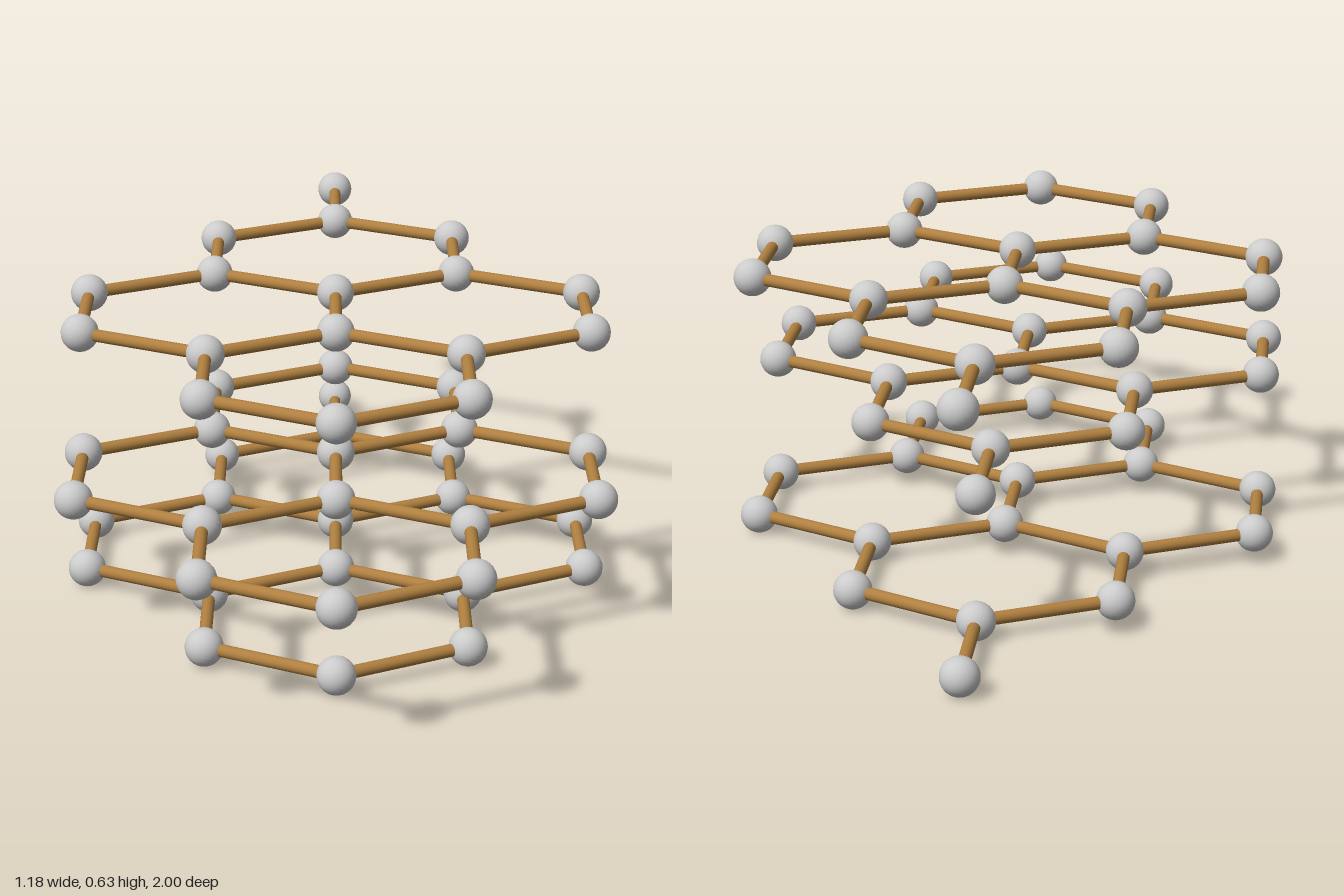
import * as THREE from 'three';

const A = 0.274;          // lattice spacing
const ATOM_R = 0.041;
const BOND_R = 0.0135;

const atomMat = new THREE.MeshStandardMaterial({ color: 0xcccccc });
const bondMat = new THREE.MeshStandardMaterial({ color: 0xb08040 });
const atomGeo = new THREE.SphereGeometry(ATOM_R, 24, 16);

// z positions of the atoms in each column, in lattice units: [column, z values]
const COLUMNS = [
  [0, [-3.5, -2.5, -0.5, 0.5, 2.5]],
  [1, [-2, -1, 1, 2]],
  [2, [-0.5, 0.5]],
];

// Rod between two atom centres
function makeBond(a, b) {
  const dir = b.clone().sub(a);
  const geo = new THREE.CylinderGeometry(BOND_R, BOND_R, dir.length(), 16, 1, true);
  const bond = new THREE.Mesh(geo, bondMat);
  bond.name = 'bond';
  bond.position.copy(a).add(b).multiplyScalar(0.5);
  bond.quaternion.setFromUnitVectors(new THREE.Vector3(0, 1, 0), dir.normalize());
  return bond;
}

// One sheet: four joined hexagonal rings with a single tail atom at the back
function makeSheet() {
  const sheet = new THREE.Group();
  const points = [];
  for (const [col, zs] of COLUMNS) {
    for (const side of col === 0 ? [1] : [1, -1]) {
      for (const z of zs) points.push(new THREE.Vector3(side * col * A, 0, z * A));
    }
  }
  points.forEach((p, i) => {
    const atom = new THREE.Mesh(atomGeo, atomMat);
    atom.name = 'atom';
    atom.position.copy(p);
    sheet.add(atom);
    // Join every pair of nearest neighbours
    for (const q of points.slice(i + 1)) {
      if (p.distanceTo(q) < 1.2 * A) sheet.add(makeBond(p, q));
    }
  });
  return sheet;
}

export function createModel() {
  const model = new THREE.Group();
  model.name = 'layeredLattice';
  // Three stacked sheets, the middle one shifted forward by one spacing
  ['bottomSheet', 'middleSheet', 'topSheet'].forEach((name, i) => {
    const sheet = makeSheet();
    sheet.name = name;
    sheet.position.set(0, ATOM_R + i * A, i === 1 ? A : 0);
    model.add(sheet);
  });
  return model;
}
